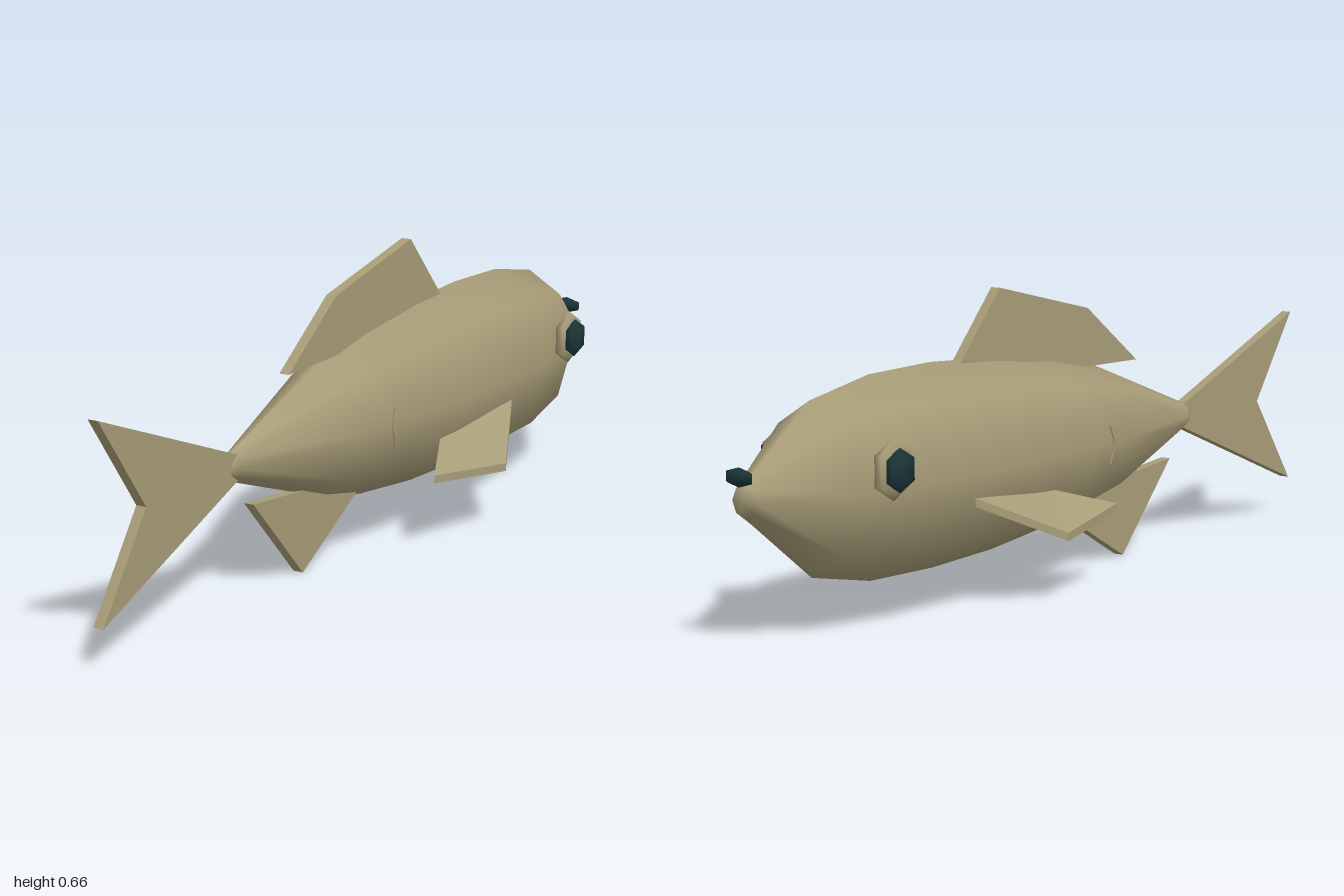
import * as THREE from 'three';

export function createModel() {
  const model = new THREE.Group();
  model.name = 'fish';
  const skin = new THREE.MeshStandardMaterial({ color: 0xa89d78 });
  skin.name = 'olive tan skin';
  const dark = new THREE.MeshStandardMaterial({ color: 0x1c3538 });
  dark.name = 'dark teal';

  function add(name, geometry, material) {
    const mesh = new THREE.Mesh(geometry, material);
    mesh.name = name;
    model.add(mesh);
    return mesh;
  }

  // Body: smooth eight-sided rings from nose to tail: [z, half width, bottom y, top y]
  const rings = [
    [-0.97, 0.033, 0.268, 0.335], [-0.78, 0.12, 0.12, 0.48], [-0.6, 0.148, 0.084, 0.514],
    [-0.4, 0.155, 0.08, 0.52], [-0.2, 0.15, 0.088, 0.51], [0.02, 0.131, 0.112, 0.487],
    [0.18, 0.11, 0.146, 0.456], [0.53, 0.024, 0.268, 0.333], [0.552, 0.014, 0.282, 0.318],
  ];
  const sides = 8, last = rings.length - 1;
  const positions = [], index = [];
  for (const [z, w, low, high] of rings) {
    for (let j = 0; j < sides; j++) {
      const a = (j / sides) * Math.PI * 2;
      positions.push(w * Math.cos(a), (low + high) / 2 + ((high - low) / 2) * Math.sin(a), z);
    }
  }
  const nose = positions.length / 3, rear = nose + 1;
  positions.push(0, 0.301, -0.978, 0, 0.3, 0.556);
  for (let j = 0; j < sides; j++) {
    const k = (j + 1) % sides;
    for (let i = 0; i < last; i++) {
      const a = i * sides + j, b = i * sides + k;
      index.push(a, b, b + sides, a, b + sides, a + sides);
    }
    index.push(k, j, nose, last * sides + j, last * sides + k, rear);
  }
  const body = new THREE.BufferGeometry();
  body.setAttribute('position', new THREE.Float32BufferAttribute(positions, 3));
  body.setIndex(index);
  body.computeVertexNormals();
  add('body', body, skin);

  // Upright fins: flat plates on the centre plane, outlined as [z, y]
  function uprightFin(name, points) {
    const shape = new THREE.Shape(points.map(([z, y]) => new THREE.Vector2(z, y)));
    const geometry = new THREE.ExtrudeGeometry(shape, { depth: 0.024, bevelEnabled: false });
    geometry.translate(0, 0, -0.012).rotateY(-Math.PI / 2);
    add(name, geometry, skin);
  }
  uprightFin('dorsalFin', [[0.33, 0.455], [0.14, 0.59], [-0.18, 0.66], [-0.32, 0.505], [-0.1, 0.46]]);
  uprightFin('analFin', [[0.47, 0.205], [0.28, 0.002], [0.05, 0.13], [0.1, 0.17]]);
  uprightFin('tailFin', [[0.48, 0.31], [1, 0.51], [0.85, 0.3], [1, 0.09], [0.48, 0.29]]);

  // Side fin: thin folded plate, creased from the outer tip to the rear root
  function sideFin(side) {
    const outline = [[0.142, 0.23, -0.43], [0.235, 0.138, -0.23], [0.186, 0.162, 0.012], [0.12, 0.205, -0.13]];
    const lower = outline.map(([x, y, z]) => [x * side, y, z]);
    const upper = lower.map(([x, y, z]) => [x, y + 0.018, z]);
    const out = [];
    const tri = (a, b, c) => out.push(...(side > 0 ? [a, b, c] : [a, c, b]).flat());
    tri(upper[0], upper[3], upper[1]);
    tri(upper[3], upper[2], upper[1]);
    tri(lower[0], lower[1], lower[3]);
    tri(lower[3], lower[1], lower[2]);
    for (let i = 0; i < 4; i++) {
      const k = (i + 1) % 4;
      tri(lower[i], upper[i], upper[k]);
      tri(lower[i], upper[k], lower[k]);
    }
    const geometry = new THREE.BufferGeometry();
    geometry.setAttribute('position', new THREE.Float32BufferAttribute(out, 3));
    geometry.computeVertexNormals();
    return geometry;
  }

  // Coarse ellipsoid with pointed top and bottom
  function bead(name, material, radii, place) {
    const mesh = add(name, new THREE.SphereGeometry(1, 6, 3), material);
    mesh.scale.set(...radii);
    mesh.position.set(...place);
  }

  for (const side of [1, -1]) {
    const label = side > 0 ? 'left' : 'right';
    add(label + 'SideFin', sideFin(side), skin);
    bead(label + 'Eye', skin, [0.02, 0.064, 0.064], [0.15 * side, 0.345, -0.7]);
    bead(label + 'Pupil', dark, [0.021, 0.046, 0.046], [0.167 * side, 0.345, -0.7]);

    // Slim curved ridge on the flank
    const arc = new THREE.CatmullRomCurve3([
      new THREE.Vector3(0.124 * side, 0.34, 0.074),
      new THREE.Vector3(0.126 * side, 0.298, 0.087),
      new THREE.Vector3(0.124 * side, 0.254, 0.074),
    ]);
    add(label + 'FlankRidge', new THREE.TubeGeometry(arc, 8, 0.003, 5), skin);
  }

  // Small dark bead at the snout
  bead('snoutBead', dark, [0.04, 0.02, 0.017], [0, 0.352, -0.985]);

  return model;
}
